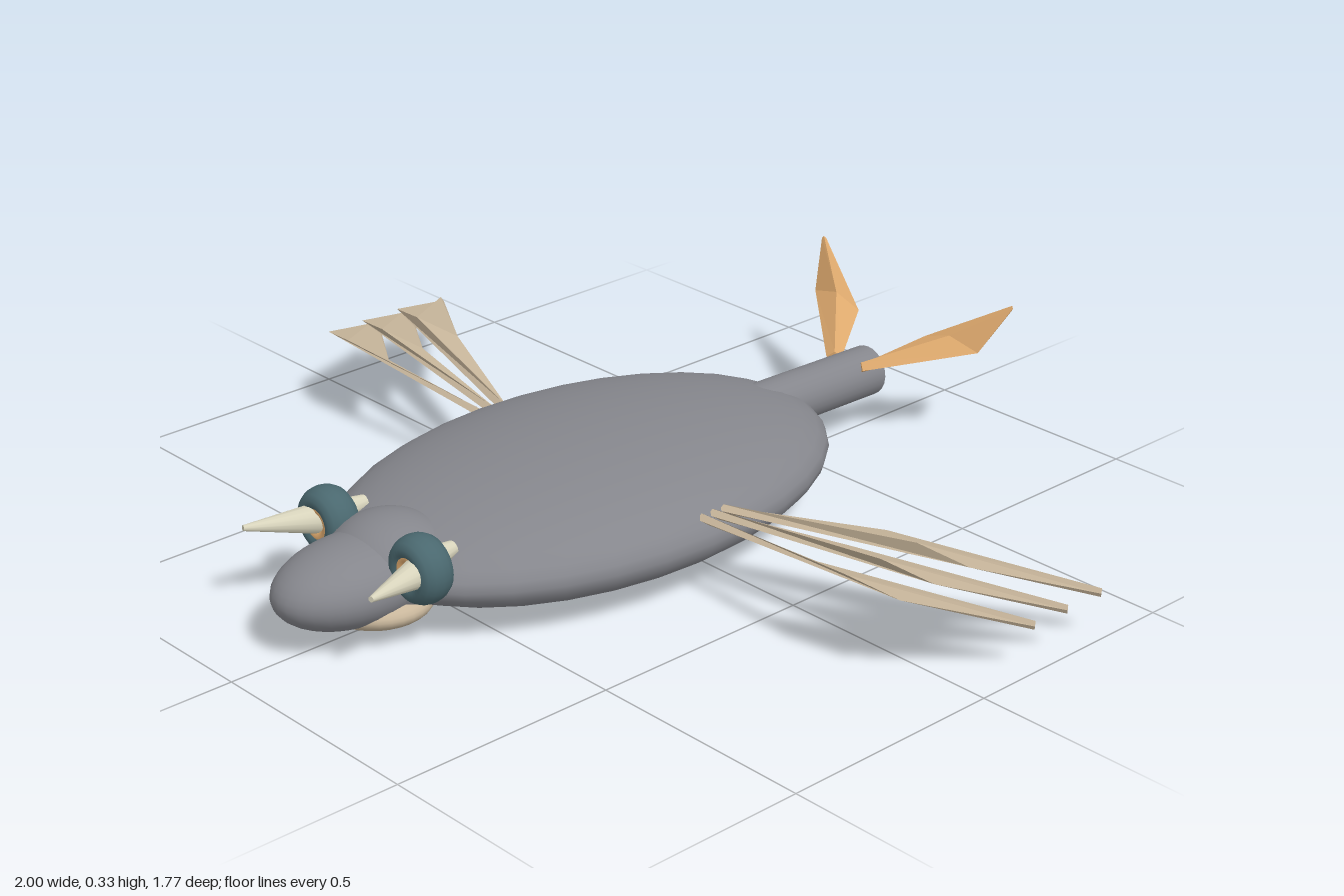
import * as THREE from 'three';

const mat = (name, color, side = THREE.FrontSide) => {
  const m = new THREE.MeshStandardMaterial({ color, side });
  m.name = name;
  return m;
};

export function createModel() {
  const grey = mat('slate grey', 0x85868c);
  const greyTube = grey;
  grey.side = THREE.DoubleSide;
  const teal = mat('dark teal', 0x4a686f);
  const orange = mat('orange', 0xdfaa6e, THREE.DoubleSide);
  const tan = mat('tan', 0xc9b79c, THREE.DoubleSide);
  const cream = mat('cream', 0xd8d4bc);

  const root = new THREE.Group();
  root.name = 'creature';

  const add = (name, geometry, material, position = [0, 0, 0]) => {
    const mesh = new THREE.Mesh(geometry, material);
    mesh.name = name;
    mesh.position.set(...position);
    root.add(mesh);
    return mesh;
  };

  const ellipsoid = (name, material, position, radii) =>
    add(name, new THREE.SphereGeometry(1, 32, 20), material, position).scale.set(...radii);

  // Cylinder or cone running from point a to point b
  const rod = (name, material, a, b, ra, rb, sides, open = false) => {
    const start = new THREE.Vector3(...a);
    const dir = new THREE.Vector3(...b).sub(start);
    const geometry = new THREE.CylinderGeometry(rb, ra, dir.length(), sides, 1, open);
    const mesh = add(name, geometry, material);
    mesh.position.copy(start).addScaledVector(dir, 0.5);
    mesh.quaternion.setFromUnitVectors(new THREE.Vector3(0, 1, 0), dir.normalize());
  };

  // Faceted blade through four-cornered cross-sections, mirrored by the sign s
  const blade = (name, material, sections, s) => {
    const pos = sections.flat().flatMap(([x, y, z]) => [x * s, y, z]);
    const index = [];
    const quad = (a, b, c, d) =>
      s > 0 ? index.push(a, b, c, a, c, d) : index.push(a, c, b, a, d, c);
    for (let i = 0; i < sections.length - 1; i++) {
      for (let j = 0; j < 4; j++) {
        const k = (j + 1) % 4;
        quad(i * 4 + j, i * 4 + k, i * 4 + 4 + k, i * 4 + 4 + j);
      }
    }
    const e = (sections.length - 1) * 4;
    quad(3, 2, 1, 0);
    quad(e, e + 1, e + 2, e + 3);
    let geometry = new THREE.BufferGeometry();
    geometry.setAttribute('position', new THREE.Float32BufferAttribute(pos, 3));
    geometry.setIndex(index);
    geometry = geometry.toNonIndexed();
    geometry.computeVertexNormals();
    add(name, geometry, material);
  };

  // Body, neck, head and chin
  ellipsoid('body', grey, [0, 0.123, 0.1], [0.376, 0.123, 0.6]);
  ellipsoid('neck', grey, [0, 0.123, 0.61], [0.135, 0.1, 0.13]);
  ellipsoid('head', grey, [0, 0.115, 0.695], [0.12, 0.085, 0.19]);
  ellipsoid('chin', tan, [0, 0.066, 0.66], [0.13, 0.046, 0.12]);

  // Hollow tail stalk
  rod('tail', greyTube, [0, 0.137, -0.38], [0, 0.129, -0.735], 0.057, 0.056, 24, true);

  for (const s of [1, -1]) {
    const side = s > 0 ? 'left' : 'right';

    // Eye ring, inner ring and the horn passing through
    const ring = add(side + 'EyeRing', new THREE.TorusGeometry(0.044, 0.027, 14, 28), teal, [0.143 * s, 0.173, 0.65]);
    ring.scale.z = 1.45;
    add(side + 'InnerRing', new THREE.TorusGeometry(0.031, 0.017, 10, 24), orange, [0.143 * s, 0.173, 0.668]);
    rod(side + 'FrontHorn', cream, [0.15 * s, 0.175, 0.645], [0.2 * s, 0.188, 0.815], 0.036, 0.006, 14);
    rod(side + 'RearHorn', cream, [0.143 * s, 0.178, 0.66], [0.136 * s, 0.186, 0.565], 0.034, 0.015, 14);

    // Three wing feathers, front to back
    [[0.1, -0.145], [0.07, -0.24], [0.04, -0.34]].forEach(([zb, zt], i) => {
      blade(side + 'WingFeather' + (i + 1), tan, [
        [[0.34, 0.168, zb - 0.012], [0.34, 0.178, zb], [0.34, 0.168, zb + 0.012], [0.34, 0.158, zb]],
        [[0.65, 0.188, zt + 0.24], [0.755, 0.21, zt + 0.27], [0.865, 0.188, zt + 0.24], [0.76, 0.183, zt + 0.235]],
        [[0.993, 0.102, zt], [0.998, 0.112, zt + 0.005], [1, 0.102, zt + 0.008], [0.996, 0.092, zt + 0.004]],
      ], s);
    });

    // Upswept tail fin
    blade(side + 'TailFin', orange, [
      [[0.028, 0.165, -0.682], [0.04, 0.178, -0.672], [0.055, 0.165, -0.662], [0.04, 0.153, -0.672]],
      [[0.1, 0.22, -0.81], [0.17, 0.243, -0.81], [0.245, 0.222, -0.82], [0.175, 0.218, -0.822]],
      [[0.277, 0.322, -0.885], [0.282, 0.327, -0.882], [0.286, 0.322, -0.88], [0.281, 0.315, -0.883]],
    ], s);
  }

  return root;
}
